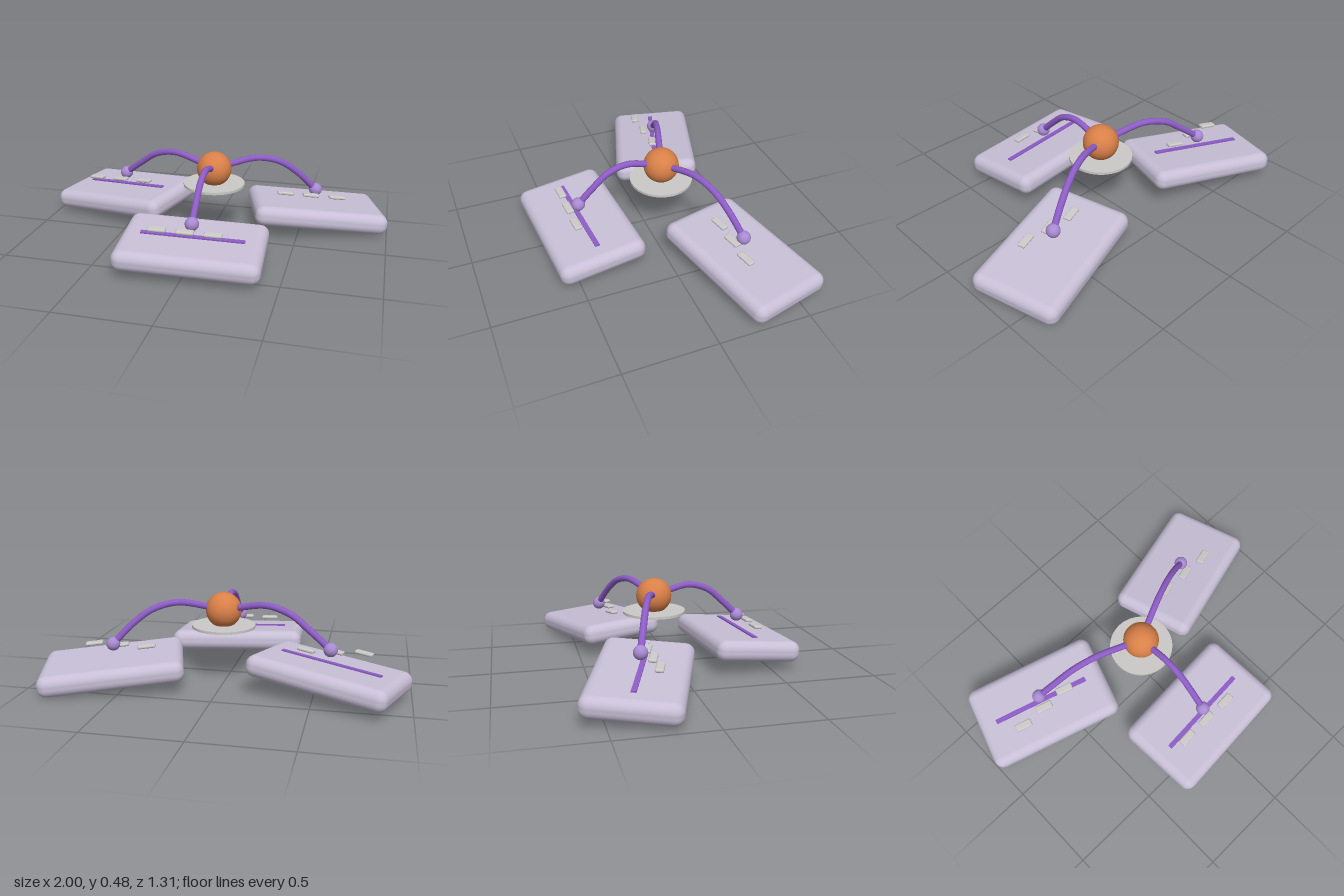
import * as THREE from 'three';
import { RoundedBoxGeometry } from 'three/addons/geometries/RoundedBoxGeometry.js';

const material = (name, color) => {
  const m = new THREE.MeshStandardMaterial({ color });
  m.name = name;
  return m;
};

export function createModel() {
  const model = new THREE.Group();
  model.name = 'hubWithThreeSlabs';

  const lilac = material('pale lilac', 0xc8bfd6);
  const orange = material('orange', 0xd98048);
  const purple = material('purple', 0x8d5cc6);
  const lavender = material('lavender', 0xa88ad2);
  const grey = material('light grey', 0xcbc9c7);

  const add = (parent, name, geometry, mat, x = 0, y = 0, z = 0) => {
    const mesh = new THREE.Mesh(geometry, mat);
    mesh.name = name;
    mesh.position.set(x, y, z);
    parent.add(mesh);
    return mesh;
  };

  // Central ball over a thin disc
  const hub = new THREE.Vector3(0.02, 0.39, -0.095);
  add(model, 'hubBall', new THREE.SphereGeometry(0.098, 40, 24), orange, hub.x, hub.y, hub.z);
  add(model, 'hubDisc', new THREE.CylinderGeometry(0.174, 0.174, 0.014, 64), grey, hub.x, 0.302, hub.z);

  // Shared shapes
  const slabGeometry = new RoundedBoxGeometry(0.76, 0.115, 0.48, 5, 0.05);
  const dashGeometry = new RoundedBoxGeometry(0.095, 0.018, 0.042, 3, 0.008);
  const barGeometry = new THREE.BoxGeometry(0.55, 0.014, 0.026);
  const tipGeometry = new THREE.SphereGeometry(0.037, 28, 18);

  // Arm heights along the way from the hub to the tip: [fraction, height]
  const arch = [[0, 0.385], [0.18, 0.418], [0.42, 0.443], [0.64, 0.412], [0.82, 0.338]];

  const stations = [
    { side: 'front', pos: [0.02, 0.12, 0.387], rot: [0.1, 0.064, -0.03], tip: [0.02, 0.252, 0.391], bar: true },
    { side: 'right', pos: [-0.575, 0.125, -0.286], rot: [0.06, -0.317, 0.1], tip: [-0.58, 0.255, -0.288], bar: true },
    { side: 'left', pos: [0.58, 0.106, -0.334], rot: [-0.05, 0.288, -0.1], tip: [0.575, 0.231, -0.331], bar: false },
  ];

  for (const { side, pos, rot, tip, bar } of stations) {
    const turn = new THREE.Euler(...rot, 'YXZ');

    // Tilted slab with an inlaid bar
    const slab = new THREE.Group();
    slab.name = side + 'Slab';
    slab.position.set(...pos);
    slab.rotation.copy(turn);
    add(slab, 'slabBody', slabGeometry, lilac);
    if (bar) add(slab, 'slabBar', barGeometry, purple, 0, 0.058, 0);
    model.add(slab);

    // Row of three floating dashes
    for (let i = -1; i <= 1; i++) {
      const dash = add(model, side + 'Dash', dashGeometry, grey,
        pos[0] - 0.024 + i * 0.149, pos[1] + 0.106, pos[2] + 0.057);
      dash.rotation.copy(turn);
    }

    // Arched arm ending in a small ball
    const end = new THREE.Vector3(...tip);
    const points = arch.map(([t, y]) => hub.clone().lerp(end, t).setY(y));
    points.push(end);
    const path = new THREE.CatmullRomCurve3(points);
    add(model, side + 'Arm', new THREE.TubeGeometry(path, 40, 0.018, 12), purple);
    add(model, side + 'ArmTip', tipGeometry, lavender, ...tip);
  }

  return model;
}
